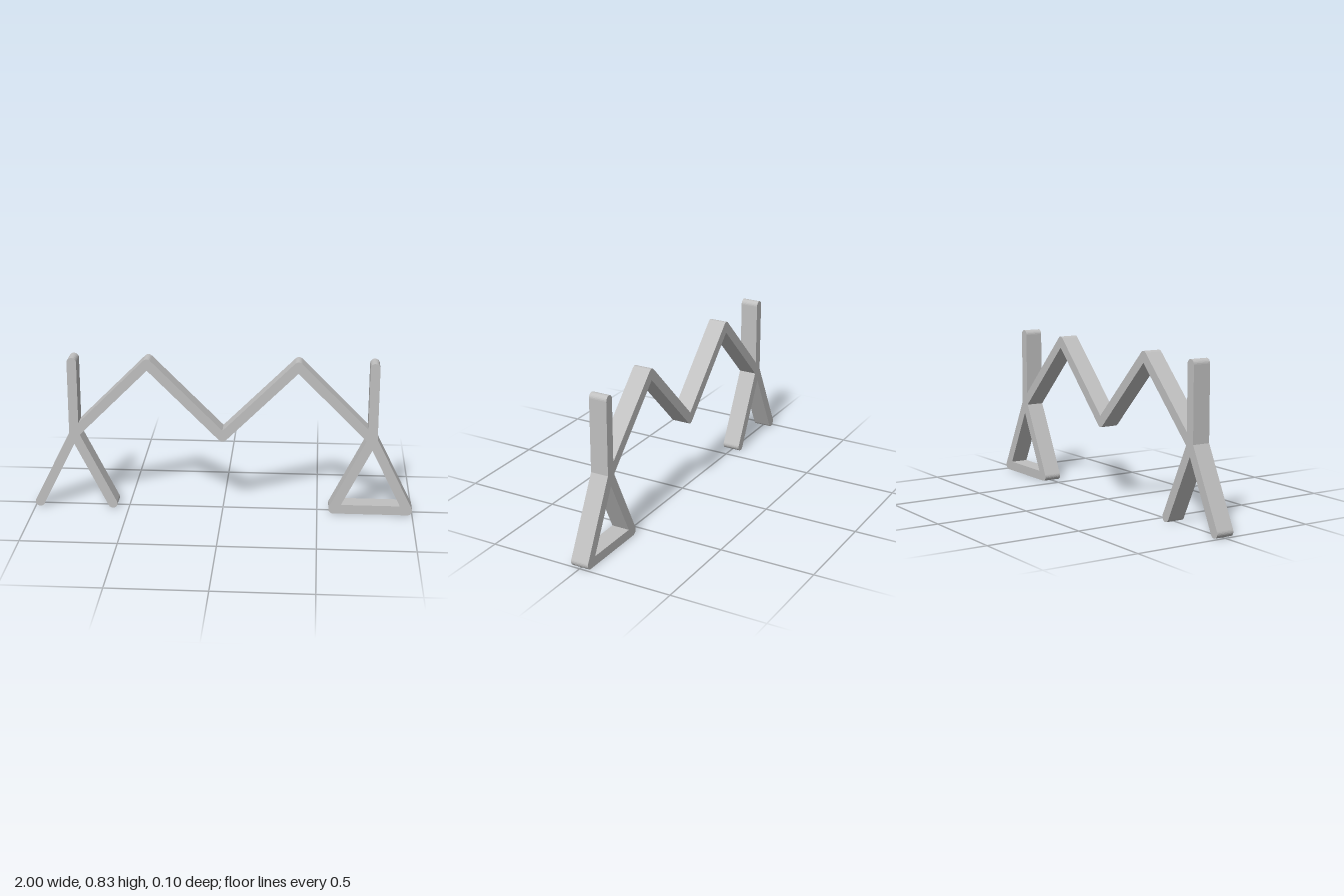
import * as THREE from 'three';

const R = 0.025;     // half the bar thickness
const DEPTH = 0.096; // front to back

export function createModel() {
  const group = new THREE.Group();
  const grey = new THREE.MeshStandardMaterial({ color: 0xc0c0c0 });
  grey.name = 'grey';

  // Flat bar with rounded ends between two points of the front plane
  function bar(name, [x1, y1], [x2, y2]) {
    const length = Math.hypot(x2 - x1, y2 - y1);
    const shape = new THREE.Shape();
    shape.absarc(length, 0, R, -Math.PI / 2, Math.PI / 2, false);
    shape.absarc(0, 0, R, Math.PI / 2, Math.PI * 1.5, false);
    shape.closePath();
    const geometry = new THREE.ExtrudeGeometry(shape, { depth: DEPTH, bevelEnabled: false, curveSegments: 6 });
    geometry.translate(0, 0, -DEPTH / 2);
    const mesh = new THREE.Mesh(geometry, grey);
    mesh.name = name;
    mesh.position.set(x1, y1, 0);
    mesh.rotation.z = Math.atan2(y2 - y1, x2 - x1);
    group.add(mesh);
  }

  for (const [side, s] of [['left', 1], ['right', -1]]) {
    const hip = [s * 0.78, 0.415];
    const peak = [s * 0.39, 0.805];
    // Upright and splayed legs of each stick figure
    bar(side + 'Upright', hip, [s * 0.78, 0.805]);
    bar(side + 'OuterLeg', hip, [s * 0.975, 0.025]);
    bar(side + 'InnerLeg', hip, [s * 0.585, 0.025]);
    // Zigzag arms meeting in the middle
    bar(side + 'OuterArm', hip, peak);
    bar(side + 'InnerArm', peak, [0, 0.415]);
  }

  // Base bar closing the left figure's legs into a triangle
  bar('leftBaseBar', [0.585, 0.025], [0.975, 0.025]);

  return group;
}
